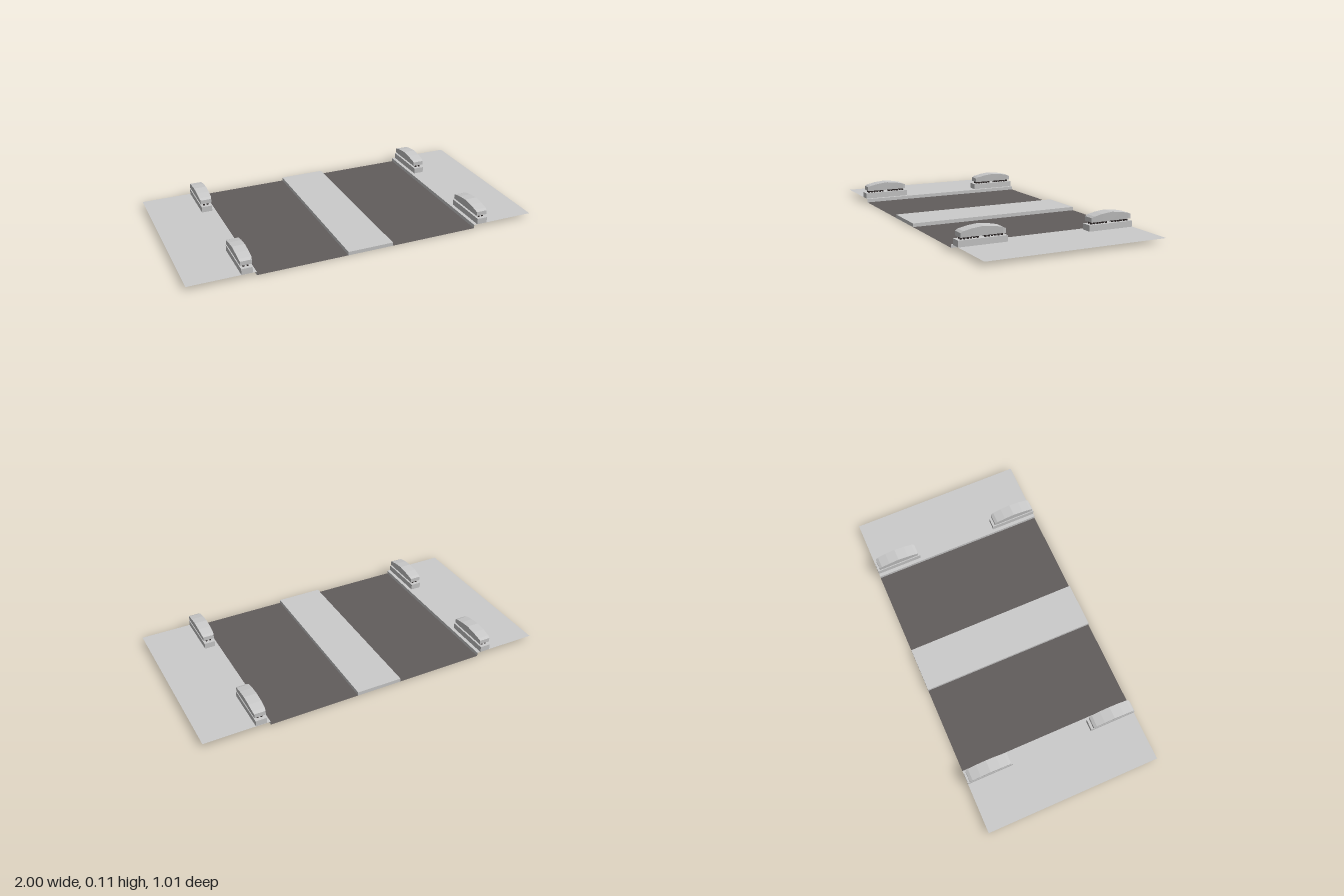
import * as THREE from 'three';

const grey = new THREE.MeshStandardMaterial({ color: 0xcccccc, flatShading: true, side: THREE.DoubleSide });
const asphalt = new THREE.MeshStandardMaterial({ color: 0x625d5c, side: THREE.DoubleSide });
const dark = new THREE.MeshStandardMaterial({ color: 0x332c2c });

const LENGTH = 1.01, ROAD_IN = 0.13, ROAD_OUT = 0.635, KERB = 0.02;

function add(parent, name, geometry, material, x = 0, y = 0, z = 0) {
  const mesh = new THREE.Mesh(geometry, material);
  mesh.name = name;
  mesh.position.set(x, y, z);
  parent.add(mesh);
  return mesh;
}

function box(parent, name, w, h, d, material, x, bottom, z) {
  return add(parent, name, new THREE.BoxGeometry(w, h, d), material, x, bottom + h / 2, z);
}

// Arched roof: z station, top height, half width at the top
function roofGeometry() {
  const half = [[0, 0.114, 0.035], [0.058, 0.108, 0.035], [0.106, 0.098, 0.034], [0.122, 0.09, 0.031]];
  const stations = [
    ...half.slice(1).reverse().map(([z, y, w]) => [-z, y, w]),
    ...half,
  ];
  const geometry = new THREE.BoxGeometry(1, 1, stations.length - 1, 1, 1, stations.length - 1);
  const p = geometry.attributes.position;
  for (let i = 0; i < p.count; i++) {
    const k = Math.round(p.getZ(i) + (stations.length - 1) / 2);
    const [z, y, w] = stations[k];
    const top = p.getY(i) > 0;
    p.setXYZ(i, Math.sign(p.getX(i)) * (top ? w : 0.031), top ? y : 0.066, z);
  }
  geometry.computeVertexNormals();
  return geometry;
}

// Base block, two groups of small posts and the arched roof
function createShelter(roof) {
  const shelter = new THREE.Group();
  shelter.name = 'shelter';
  box(shelter, 'shelterBase', 0.06, 0.033, 0.267, grey, 0, KERB, 0);
  for (const side of [-1, 1])
    for (const row of [-1, 1])
      for (let i = 0; i < 6; i++)
        box(shelter, 'shelterPost', 0.009, 0.013, 0.009, dark, row * 0.011, 0.053, side * (0.021 + i * 0.0178));
  add(shelter, 'shelterRoof', roof, grey);
  return shelter;
}

export function createModel() {
  const model = new THREE.Group();
  model.name = 'street';
  box(model, 'median', 2 * ROAD_IN, KERB, LENGTH, grey, 0, 0, 0);

  const roof = roofGeometry();
  for (const side of [-1, 1]) {
    // Thin road and pavement surfaces joined by an upright kerb
    const road = new THREE.PlaneGeometry(ROAD_OUT - ROAD_IN, LENGTH).rotateX(-Math.PI / 2);
    add(model, 'road', road, asphalt, side * (ROAD_IN + ROAD_OUT) / 2);
    const pavement = new THREE.PlaneGeometry(1 - ROAD_OUT, LENGTH).rotateX(-Math.PI / 2);
    add(model, 'pavement', pavement, grey, side * (1 + ROAD_OUT) / 2, KERB);
    const kerb = new THREE.PlaneGeometry(LENGTH, KERB).rotateY(-side * Math.PI / 2);
    add(model, 'kerb', kerb, grey, side * ROAD_OUT, KERB / 2);

    for (const end of [-1, 1]) {
      const shelter = createShelter(roof);
      shelter.position.set(side * 0.685, 0, end * 0.371);
      model.add(shelter);
    }
  }
  return model;
}
